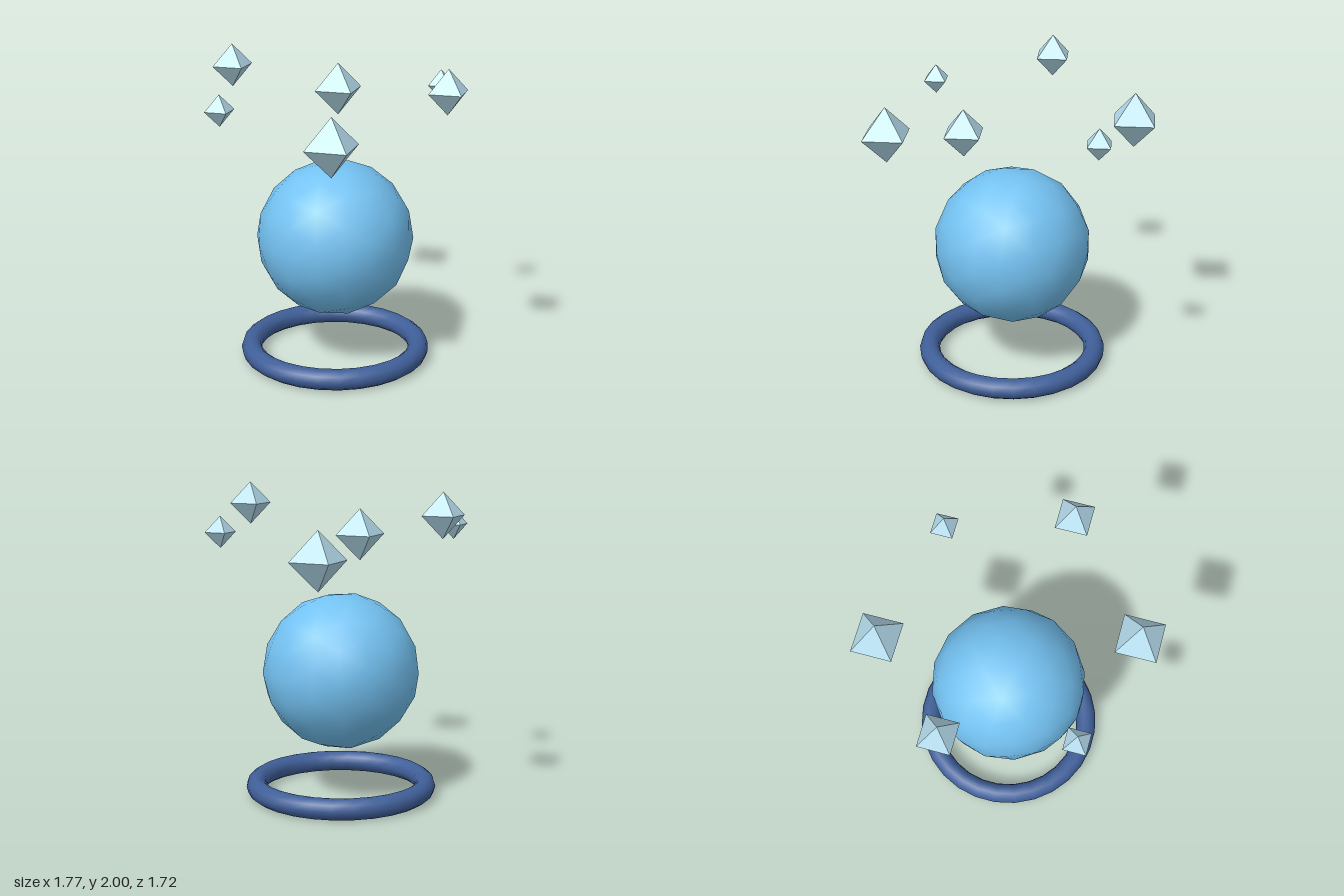
import * as THREE from 'three';

export function createModel() {
  const model = new THREE.Group();

  const add = (name, geometry, material, x, y, z) => {
    const mesh = new THREE.Mesh(geometry, material);
    mesh.name = name;
    mesh.position.set(x, y, z);
    model.add(mesh);
    return mesh;
  };

  const ringMaterial = new THREE.MeshStandardMaterial({ color: 0x40609a });
  const orbMaterial = new THREE.MeshStandardMaterial({ color: 0x74c2f2 });
  const crystalMaterial = new THREE.MeshStandardMaterial({ color: 0xb4dcec, flatShading: true });

  // Base ring lying flat on the ground
  const ring = new THREE.TorusGeometry(0.55, 0.067, 10, 28).rotateX(Math.PI / 2);
  add('baseRing', ring, ringMaterial, 0, 0.064, 0);

  // Floating orb
  add('orb', new THREE.IcosahedronGeometry(0.505, 2), orbMaterial, 0, 0.82, 0);

  // Six crystals in a circle, three sizes repeating on opposite sides
  const kinds = [
    { radius: 0.098, y: 1.74 },
    { radius: 0.14, y: 1.86 },
    { radius: 0.18, y: 1.62 },
  ];
  for (let i = 0; i < 6; i++) {
    const { radius, y } = kinds[i % 3];
    const angle = (i * Math.PI) / 3;
    add('crystal' + (i + 1), new THREE.OctahedronGeometry(radius), crystalMaterial,
      0.785 * Math.cos(angle), y, 0.785 * Math.sin(angle));
  }

  return model;
}
